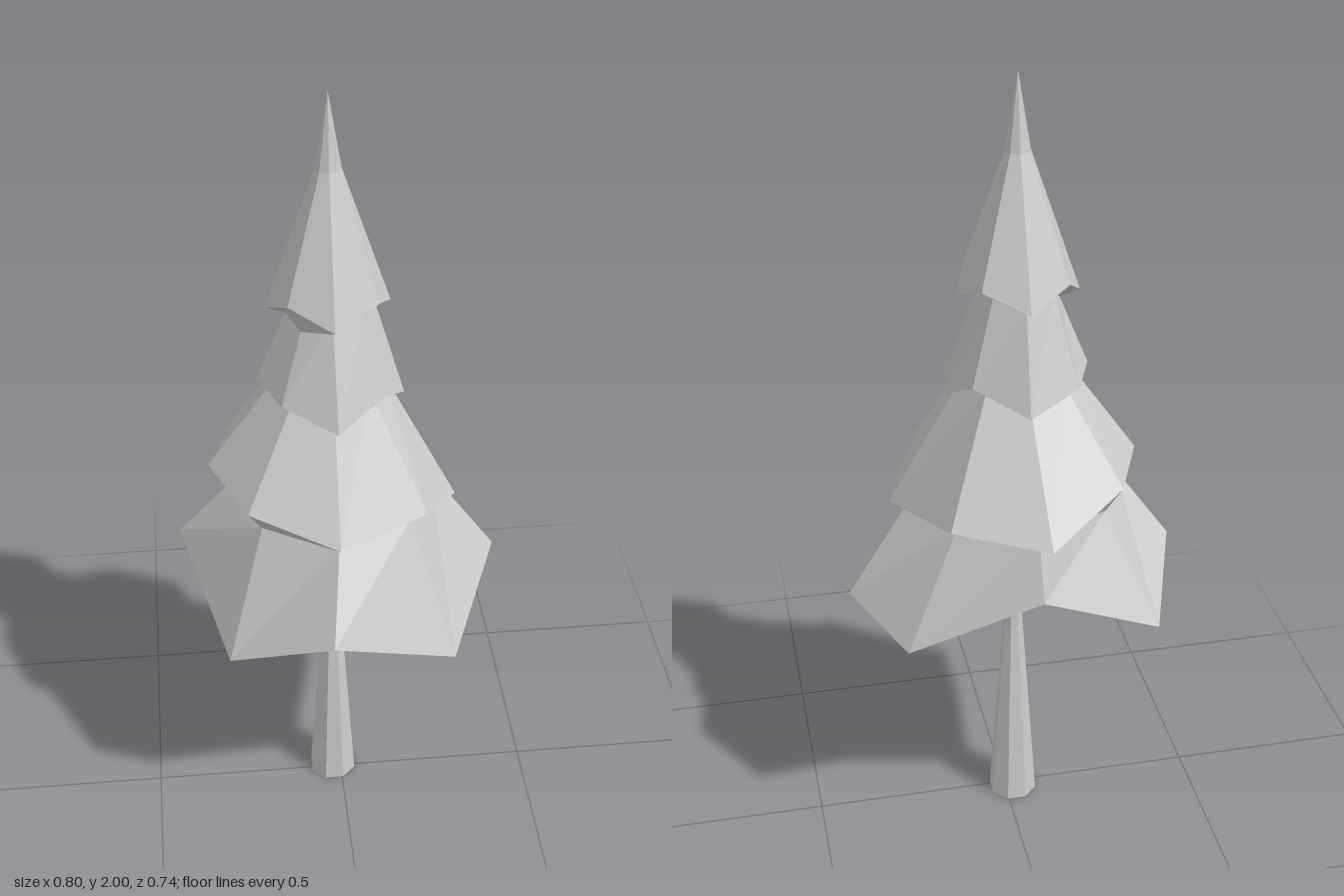
import * as THREE from 'three';

const SIDES = 8;
const AXIS = { x: -0.024, z: -0.035 };

// Regular ring around the tree axis, starting at +x and turning towards +z
function ring(radius, height) {
  return Array.from({ length: SIDES }, (_, i) => {
    const a = (i / SIDES) * Math.PI * 2;
    const y = Array.isArray(height) ? height[i] : height;
    return [AXIS.x + radius * Math.cos(a), y, AXIS.z + radius * Math.sin(a)];
  });
}

// Faceted skin joining consecutive rings from the inside of the underside to the top
function skin(rings) {
  const pos = [];
  const tri = (a, b, c) => pos.push(...a, ...b, ...c);
  for (let k = 0; k < rings.length - 1; k++) {
    const lo = rings[k], hi = rings[k + 1];
    for (let i = 0; i < SIDES; i++) {
      const j = (i + 1) % SIDES;
      tri(lo[j], lo[i], hi[i]);
      tri(lo[j], hi[i], hi[j]);
    }
  }
  const geo = new THREE.BufferGeometry();
  geo.setAttribute('position', new THREE.Float32BufferAttribute(pos, 3));
  geo.computeVertexNormals();
  return geo;
}

// Jagged lower rims of the four branch tiers, bottom to top: [x, y, z]
const RIMS = [
  [[0.4, 0.72, -0.06], [0.26, 0.62, 0.255], [-0.05, 0.77, 0.365], [-0.295, 0.63, 0.225],
    [-0.4, 0.81, -0.08], [-0.315, 0.7, -0.325], [-0.03, 0.81, -0.33], [0.285, 0.66, -0.255]],
  [[0.285, 0.935, 0], [0.187, 1.02, 0.187], [-0.025, 0.98, 0.258], [-0.235, 1.04, 0.175],
    [-0.32, 1.04, -0.035], [-0.235, 1.05, -0.245], [-0.04, 0.975, -0.37], [0.18, 0.995, -0.27]],
  [[0.155, 1.23, -0.025], [0.095, 1.29, 0.08], [-0.02, 1.24, 0.157], [-0.145, 1.28, 0.085],
    [-0.195, 1.285, -0.035], [-0.145, 1.28, -0.16], [-0.02, 1.24, -0.213], [0.1, 1.29, -0.13]],
  [[0.118, 1.485, -0.03], [0.08, 1.53, 0.065], [-0.023, 1.485, 0.112], [-0.125, 1.53, 0.06],
    [-0.172, 1.475, -0.037], [-0.125, 1.53, -0.13], [-0.025, 1.485, -0.185], [0.078, 1.53, -0.135]],
];

export function createModel() {
  const group = new THREE.Group();
  const material = new THREE.MeshStandardMaterial({ color: 0xcccccc, flatShading: true });
  const add = (name, geo) => {
    const mesh = new THREE.Mesh(geo, material);
    mesh.name = name;
    group.add(mesh);
    return mesh;
  };

  // Narrow necks between the tiers; the first closes the underside, the last starts the spire
  const necks = [
    ring(0, 0.78),
    ring(0.252, 0.975),
    ring(0.125, 1.285),
    ring(0.1, [1.5, 1.5, 1.5, 1.45, 1.46, 1.5, 1.5, 1.5]),
    ring(0.03, 1.82),
  ];

  // Branch tiers: underside, rim, sloping skirt
  const names = ['lowestBranches', 'lowerBranches', 'upperBranches', 'highestBranches'];
  RIMS.forEach((rim, k) => add(names[k], skin([necks[k], rim, necks[k + 1]])));

  // Pointed tip
  add('treeTip', skin([necks[4], ring(0, 2)]));

  // Tapered trunk, straight above its waist
  const profile = [[0, 0], [0.063, 0], [0.026, 0.54], [0.023, 0.7], [0, 0.7]];
  const trunk = add('trunk', new THREE.LatheGeometry(
    profile.map(([r, y]) => new THREE.Vector2(r, y)), SIDES, Math.PI / 8));
  trunk.position.set(-0.021, 0, -0.014);

  return group;
}
